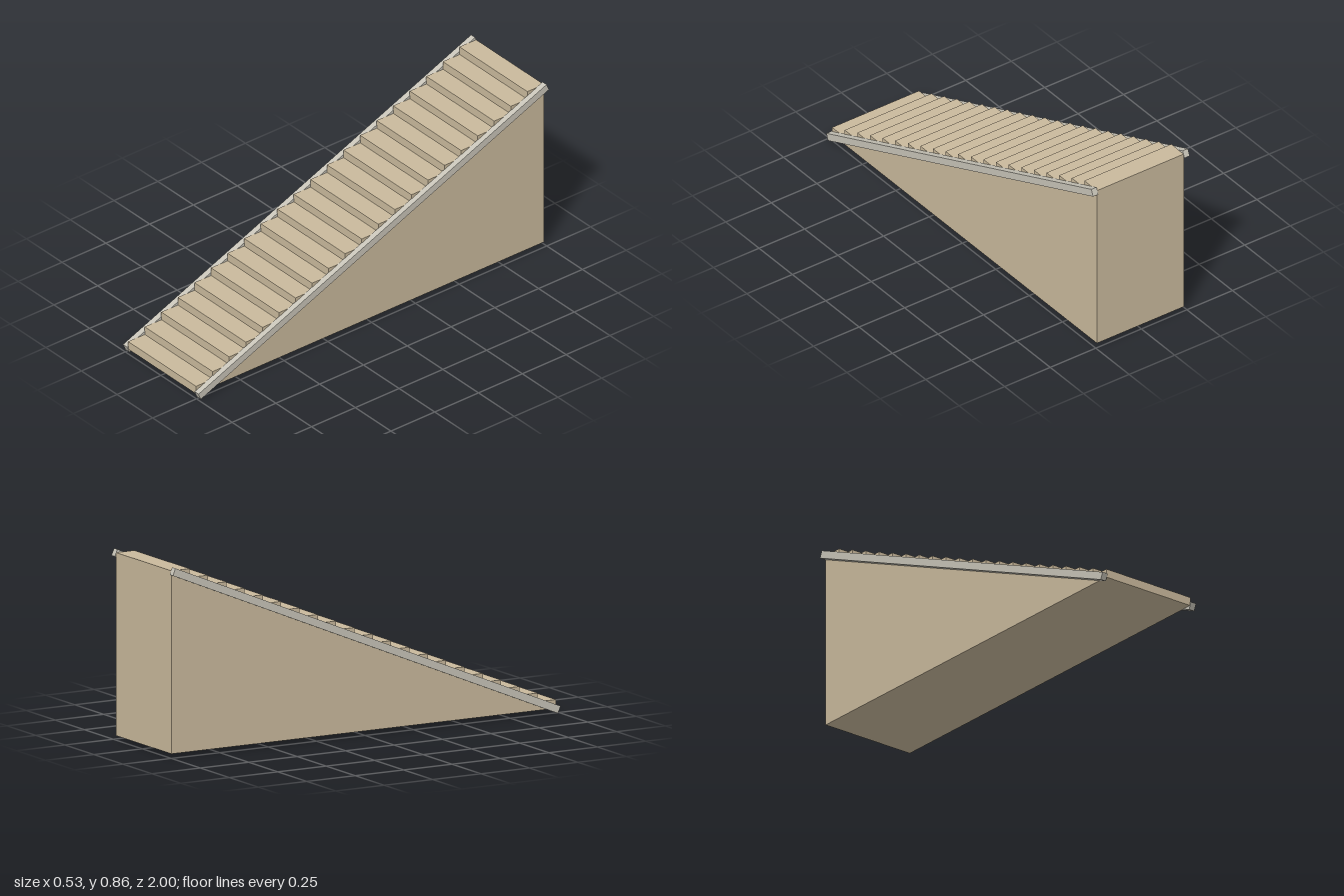
import * as THREE from 'three';

const STEPS = 21;
const FRONT = 0.993;   // z of the first riser; the back wall is at -FRONT
const BASE = 0.018;    // underside of the stair block
const TOP = 0.845;     // height of the last tread
const HALF_WIDTH = 0.2385;

export function createModel() {
  const group = new THREE.Group();
  group.name = 'staircase';

  const tan = new THREE.MeshStandardMaterial({ color: 0xc9b99c });
  tan.name = 'tan stone';
  const grey = new THREE.MeshStandardMaterial({ color: 0xc8c4b8 });
  grey.name = 'pale grey trim';

  // Solid stair block: saw-tooth side profile, extruded across the width
  const run = (2 * FRONT) / STEPS;
  const rise = (TOP - BASE) / STEPS;
  const profile = new THREE.Shape();
  profile.moveTo(-FRONT, BASE);
  for (let i = 0; i < STEPS; i++) {
    const y = BASE + (i + 1) * rise;
    profile.lineTo(-FRONT + i * run, y);
    profile.lineTo(-FRONT + (i + 1) * run, y);
  }
  profile.lineTo(FRONT, BASE);
  profile.closePath();
  const blockGeometry = new THREE.ExtrudeGeometry(profile, { depth: 2 * HALF_WIDTH, bevelEnabled: false });
  blockGeometry.translate(0, 0, -HALF_WIDTH);
  blockGeometry.rotateY(Math.PI / 2); // profile x becomes -z, so the steps climb to the back
  const block = new THREE.Mesh(blockGeometry, tan);
  block.name = 'steps';
  group.add(block);

  // Sloping side stringers, one on each side
  const slope = Math.atan2(rise, run);
  const stringerGeometry = new THREE.BoxGeometry(0.0285, 0.0345, 2.153);
  for (const side of [-1, 1]) {
    const stringer = new THREE.Mesh(stringerGeometry, grey);
    stringer.name = side > 0 ? 'leftStringer' : 'rightStringer';
    stringer.position.set(side * 0.2508, 0.43, 0);
    stringer.rotation.x = slope;
    group.add(stringer);
  }

  return group;
}
